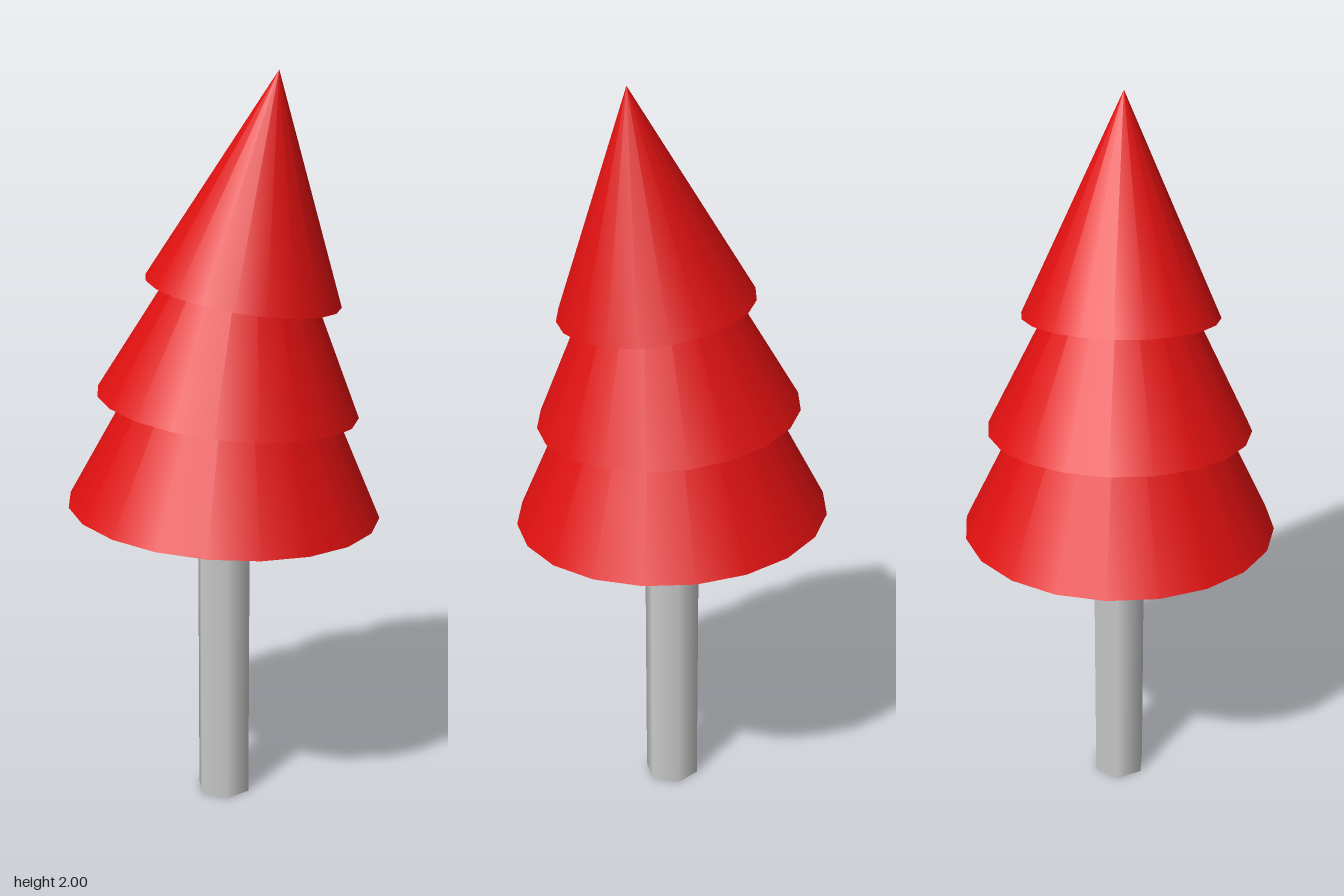
import * as THREE from 'three';

export function createModel() {
  const tree = new THREE.Group();
  tree.name = 'tree';
  const foliage = new THREE.MeshStandardMaterial({ color: 0xe01010 });
  const bark = new THREE.MeshStandardMaterial({ color: 0xcccccc });

  // Six-sided trunk with corners on the x axis, sunk into the lowest tier
  const trunkHeight = 0.9;
  const trunkGeometry = new THREE.CylinderGeometry(0.077, 0.077, trunkHeight, 6, 1, false, Math.PI / 2);
  trunkGeometry.translate(0, trunkHeight / 2, 0);
  const trunk = new THREE.Mesh(trunkGeometry, bark);
  trunk.name = 'trunk';
  tree.add(trunk);

  // Closed cones, each leaning further to +x than the one below
  const tiers = [
    { name: 'lowerTier', x: 0, y: 0.85, radius: 0.424, height: 0.86, lean: 0.06 },
    { name: 'middleTier', x: 0.012, y: 1.141, radius: 0.352, height: 0.7, lean: 0.113 },
    { name: 'upperTier', x: 0.056, y: 1.442, radius: 0.26, height: 0.566, lean: 0.167 },
  ];
  for (const { name, x, y, radius, height, lean } of tiers) {
    const geometry = new THREE.ConeGeometry(radius, height, 20);
    geometry.translate(0, height / 2, 0); // pivot at the base centre
    const tier = new THREE.Mesh(geometry, foliage);
    tier.name = name;
    tier.position.set(x, y, 0);
    tier.rotation.z = -lean;
    tree.add(tier);
  }
  return tree;
}
